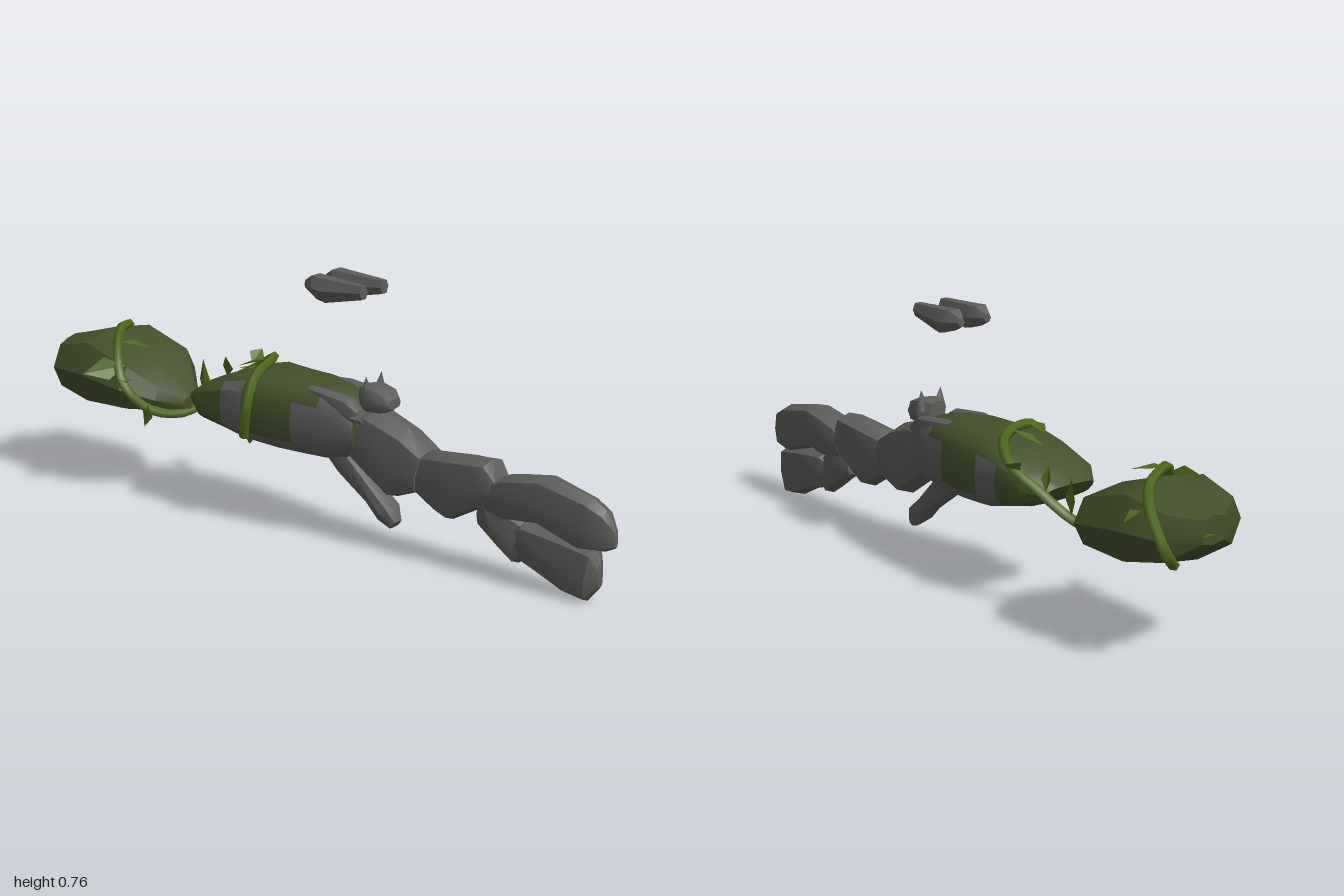
import * as THREE from 'three';
import { toCreasedNormals } from 'three/addons/utils/BufferGeometryUtils.js';

const mat = (name, color) => {
  const m = new THREE.MeshStandardMaterial({ color, side: THREE.DoubleSide });
  m.name = name;
  return m;
};

// Chiselled rock lofted along z. Section: [z, xMin, xMax, yMin, yMax, lean],
// where lean is how far the top of the section is pushed toward +z.
function rock(sections, sides = 8, pick = () => 0, power = 0.6) {
  const pos = [], faces = [[], []];
  const bend = (v) => Math.sign(v) * Math.pow(Math.abs(v) < 1e-6 ? 0 : Math.abs(v), power);
  sections.forEach(([z, x0, x1, y0, y1, lean = 0]) => {
    for (let j = 0; j < sides; j++) {
      const a = (j / sides) * Math.PI * 2;
      const u = bend(Math.cos(a)), v = bend(Math.sin(a));
      pos.push((x0 + x1) / 2 + (u * (x1 - x0)) / 2, (y0 + y1) / 2 + (v * (y1 - y0)) / 2, z + lean * v);
    }
  });
  const last = sections.length - 1;
  for (let i = 0; i < last; i++) {
    for (let j = 0; j < sides; j++) {
      const k = (j + 1) % sides;
      const a = i * sides + j, b = i * sides + k, c = b + sides, d = a + sides;
      const zMid = (sections[i][0] + sections[i + 1][0]) / 2;
      faces[pick(zMid, ((j + 0.5) / sides) * 360)].push(a, b, c, a, c, d);
    }
  }
  // end caps
  [0, last].forEach((i) => {
    const [z, x0, x1, y0, y1] = sections[i];
    const centre = pos.length / 3;
    pos.push((x0 + x1) / 2, (y0 + y1) / 2, z);
    for (let j = 0; j < sides; j++) {
      const a = i * sides + j, b = i * sides + ((j + 1) % sides);
      faces[pick(z, 90)].push(centre, ...(i ? [a, b] : [b, a]));
    }
  });
  const g = new THREE.BufferGeometry();
  g.setAttribute('position', new THREE.Float32BufferAttribute(pos, 3));
  g.setIndex([...faces[0], ...faces[1]]);
  g.addGroup(0, faces[0].length, 0);
  g.addGroup(faces[0].length, faces[1].length, 1);
  return toCreasedNormals(g, 0.6);
}

// Folded diamond leaf from base to tip
function leafGeometry(base, tip, width, up) {
  const b = new THREE.Vector3(...base), t = new THREE.Vector3(...tip);
  const dir = t.clone().sub(b);
  const side = dir.clone().cross(new THREE.Vector3(...up)).normalize().multiplyScalar(width / 2);
  const fold = side.clone().cross(dir).normalize().multiplyScalar(width * 0.15);
  const mid = b.clone().addScaledVector(dir, 0.45);
  const l = mid.clone().add(side).add(fold), r = mid.clone().sub(side).add(fold);
  const g = new THREE.BufferGeometry().setFromPoints([b, r, t, b, t, l]);
  g.computeVertexNormals();
  return g;
}

export function createModel() {
  const stone = mat('stone', 0x5c5c5a);
  const moss = mat('moss', 0x434f2b);
  const vine = mat('vine', 0x506a1e);
  const model = new THREE.Group();
  model.name = 'stoneArm';
  const add = (name, geometry, material) => {
    const mesh = new THREE.Mesh(geometry, material);
    mesh.name = name;
    model.add(mesh);
    return mesh;
  };

  // Mossy shoulder boulder
  add('shoulderBoulder', rock([
    [-0.97, -0.01, 0.08, 0.33, 0.41],
    [-0.90, -0.13, 0.17, 0.27, 0.43],
    [-0.78, -0.145, 0.2, 0.24, 0.465],
    [-0.62, -0.14, 0.195, 0.25, 0.41],
    [-0.54, -0.07, 0.12, 0.255, 0.34],
    [-0.49, 0.0, 0.07, 0.26, 0.30],
  ], 8, () => 0, 0.65), [moss, moss]);

  // Forearm: moss over the rear and upper side, bare stone in front and below
  const forearmMoss = (z, deg) => {
    const top = deg > 20 && deg < 160, under = deg > 205 && deg < 335;
    if (z < -0.24) return 1;
    if (z < -0.13) return top && deg < 140 ? 1 : 0;
    if (z < -0.03) return under ? 0 : 1;
    if (z < 0.05) return top ? 1 : 0;
    return deg > 65 && deg < 115 ? 1 : 0;
  };
  add('forearm', rock([
    [-0.39, -0.07, 0.10, 0.30, 0.35, -0.02],
    [-0.34, -0.11, 0.15, 0.28, 0.39, -0.01],
    [-0.25, -0.11, 0.16, 0.26, 0.43],
    [-0.17, -0.11, 0.165, 0.24, 0.45],
    [-0.08, -0.105, 0.16, 0.235, 0.445],
    [0.0, -0.095, 0.15, 0.235, 0.445],
    [0.08, -0.08, 0.135, 0.235, 0.44],
    [0.15, -0.07, 0.125, 0.25, 0.425],
    [0.19, -0.055, 0.11, 0.28, 0.39],
  ], 16, forearmMoss), [stone, moss]);

  // Two raised stone plates on top of the forearm
  [-1, 1].forEach((s) => {
    const x = 0.028 + s * 0.06;
    add(s > 0 ? 'leftForearmPlate' : 'rightForearmPlate', rock([
      [-0.01, x - 0.008, x + 0.008, 0.40, 0.438],
      [0.06, x - 0.03, x + 0.03, 0.36, 0.442],
      [0.16, x - 0.03, x + 0.03, 0.35, 0.43],
      [0.20, x - 0.02, x + 0.02, 0.36, 0.40],
    ]), [stone, stone]);
  });

  // Hand rocks and fingers
  const stones = {
    palm: [
      [0.16, -0.045, 0.10, 0.25, 0.40],
      [0.22, -0.05, 0.105, 0.21, 0.395],
      [0.31, -0.042, 0.098, 0.155, 0.36, 0.02],
      [0.39, -0.035, 0.09, 0.19, 0.31, 0.01],
    ],
    knuckle: [
      [0.38, -0.025, 0.08, 0.19, 0.29],
      [0.43, -0.032, 0.088, 0.15, 0.315, -0.02],
      [0.52, -0.032, 0.088, 0.13, 0.33, 0.04],
      [0.59, -0.028, 0.084, 0.18, 0.33, 0.02],
      [0.64, -0.015, 0.07, 0.21, 0.28],
    ],
    upperFinger: [
      [0.61, -0.02, 0.075, 0.19, 0.27],
      [0.67, -0.03, 0.085, 0.175, 0.30],
      [0.78, -0.027, 0.083, 0.185, 0.32],
      [0.91, -0.015, 0.072, 0.14, 0.29, 0.01],
      [0.97, -0.005, 0.06, 0.15, 0.262],
      [1.0, 0.018, 0.038, 0.165, 0.215],
    ],
    lowerFingerBase: [
      [0.58, -0.005, 0.06, 0.14, 0.21],
      [0.63, -0.02, 0.075, 0.09, 0.22, -0.03],
      [0.69, -0.015, 0.07, 0.055, 0.20, -0.01],
      [0.73, 0.0, 0.055, 0.08, 0.17],
    ],
    lowerFinger: [
      [0.68, 0.0, 0.055, 0.08, 0.15],
      [0.75, -0.02, 0.076, 0.05, 0.18, -0.03],
      [0.86, -0.015, 0.07, 0.01, 0.165, 0.0],
      [0.93, -0.012, 0.068, 0.0, 0.15, 0.01],
      [0.957, 0.015, 0.04, 0.045, 0.12],
    ],
    // crest stone over the wrist, with the small bar behind it
    wristCrest: [
      [0.17, 0.0, 0.055, 0.40, 0.46],
      [0.20, -0.022, 0.08, 0.385, 0.468],
      [0.25, -0.018, 0.075, 0.39, 0.455],
      [0.275, 0.0, 0.055, 0.405, 0.435],
    ],
    wristBar: [
      [0.185, -0.06, 0.115, 0.36, 0.40],
      [0.215, -0.055, 0.11, 0.36, 0.395],
    ],
  };
  Object.entries(stones).forEach(([name, s]) => add(name, rock(s), [stone, stone]));

  // Crest horns
  [-1, 1].forEach((s) => {
    const horn = add('crestHorn', new THREE.ConeGeometry(0.022, 0.06, 5), stone);
    horn.position.set(0.03 + s * 0.032, 0.462, 0.2);
    horn.rotation.z = -s * 0.1;
  });

  // Thumb hanging under the wrist, leaning forward
  const thumb = add('thumb', rock([
    [-0.02, -0.01, 0.066, -0.03, 0.04],
    [0.08, -0.014, 0.07, -0.035, 0.035],
    [0.2, -0.008, 0.064, -0.025, 0.025],
    [0.26, -0.01, 0.066, -0.03, 0.025],
    [0.3, 0.008, 0.048, -0.025, 0.005],
  ]), [stone, stone]);
  thumb.position.set(0, 0.27, 0.06);
  thumb.rotation.x = 0.7;

  // Floating shards
  [-0.018, 0.074].forEach((x) => add('floatingShard', rock([
    [0.0, x - 0.012, x + 0.012, 0.715, 0.74],
    [0.04, x - 0.034, x + 0.034, 0.69, 0.762, -0.01],
    [0.07, x - 0.033, x + 0.033, 0.683, 0.76, -0.01],
    [0.2, x - 0.018, x + 0.018, 0.71, 0.752],
  ], 6, () => 0, 0.85), [stone, stone]));

  // Vine winding over the boulder, under it, and around the forearm
  const path = new THREE.CatmullRomCurve3([
    [0.12, 0.28, -0.92], [0.17, 0.33, -0.94], [0.165, 0.41, -0.88], [0.1, 0.455, -0.8],
    [0.0, 0.47, -0.74], [-0.1, 0.425, -0.66], [-0.14, 0.35, -0.6], [-0.08, 0.27, -0.55],
    [0.03, 0.25, -0.5], [0.09, 0.29, -0.47], [0.13, 0.35, -0.4], [0.155, 0.4, -0.32],
    [0.12, 0.445, -0.24], [0.03, 0.46, -0.18], [-0.07, 0.44, -0.15], [-0.115, 0.37, -0.14],
    [-0.105, 0.27, -0.16],
  ].map((p) => new THREE.Vector3(...p)));
  add('vine', new THREE.TubeGeometry(path, 48, 0.015, 5), vine);

  // Leaves: base, tip, width, facing
  [
    [[-0.11, 0.40, -0.62], [-0.215, 0.385, -0.69], 0.07, [0, 0.5, 1]],
    [[-0.12, 0.36, -0.61], [-0.17, 0.37, -0.56], 0.04, [0, 1, 0]],
    [[-0.06, 0.45, -0.70], [-0.01, 0.435, -0.61], 0.05, [0, 1, 0]],
    [[0.15, 0.40, -0.35], [0.21, 0.43, -0.36], 0.05, [0, 1, 0.5]],
    [[0.15, 0.42, -0.84], [0.205, 0.385, -0.82], 0.05, [0, 1, 0]],
    [[0.1, 0.34, -0.94], [0.05, 0.37, -1.0], 0.05, [0, 1, 0]],
    [[-0.1, 0.29, -0.54], [-0.095, 0.22, -0.56], 0.04, [1, 0, 0]],
    [[0.08, 0.29, -0.48], [0.09, 0.40, -0.49], 0.04, [1, 0, 0]],
    [[0.12, 0.35, -0.42], [0.1, 0.42, -0.41], 0.04, [1, 0, 0]],
    [[0.05, 0.46, -0.2], [0.02, 0.43, -0.29], 0.04, [0, 1, 0]],
    [[-0.05, 0.46, -0.16], [-0.03, 0.445, -0.24], 0.04, [0, 1, 0]],
    [[-0.105, 0.28, -0.16], [-0.06, 0.235, -0.18], 0.04, [1, 0, 0]],
  ].forEach((l) => add('leaf', leafGeometry(...l), vine));

  return model;
}
